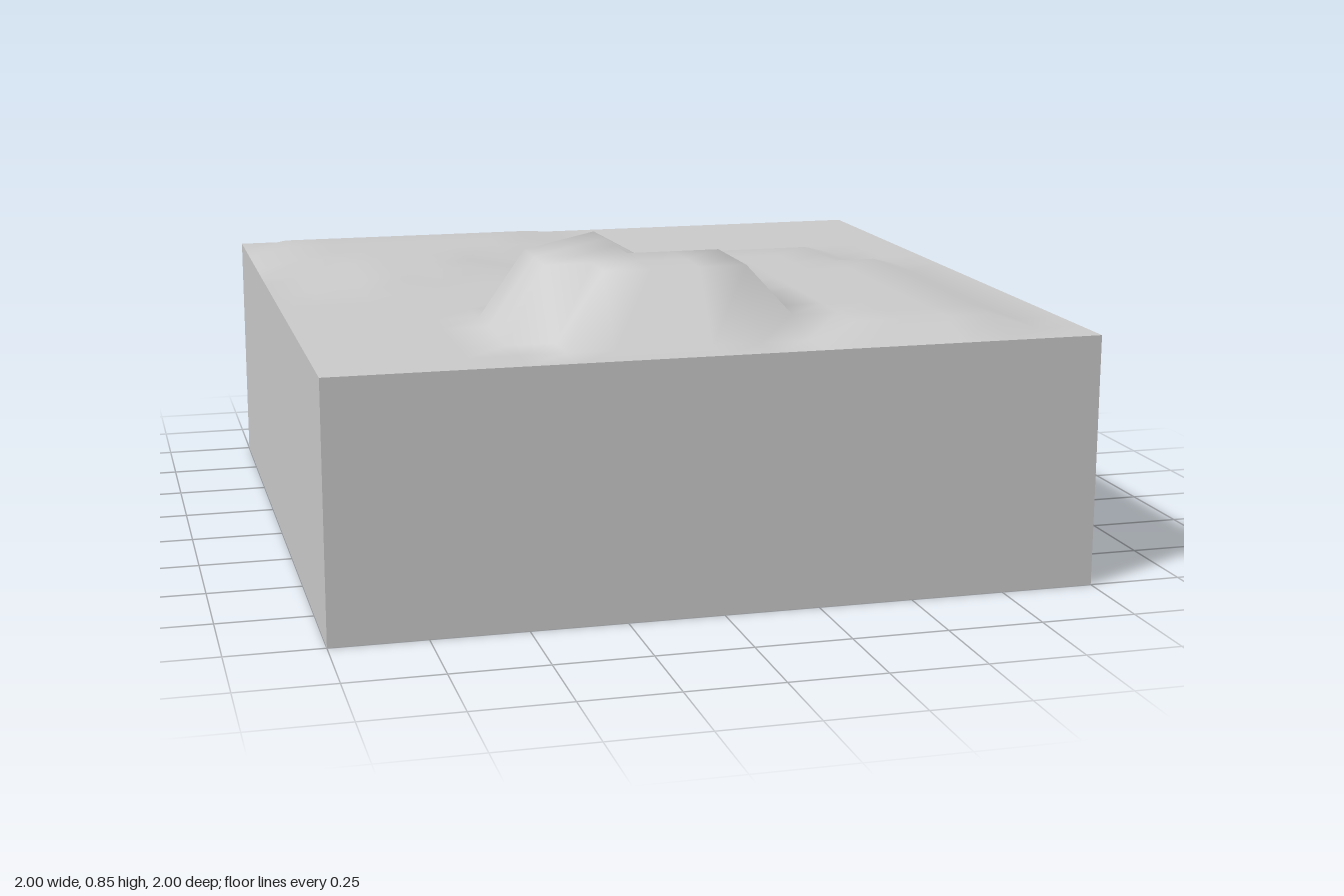
import * as THREE from 'three';

const GROUND = 0.667, CELLS = 16, STEP = 2 / CELLS;

// Each span: [z row, first x, last x], in grid steps from the centre
const TERRACES = [
  { // low rise at the back
    height: 0.692,
    spans: [[-7, -7, -1], [-6, -7, -1], [-5, -7, -1], [-4, -7, -3], [-3, -6, -3], [-2, -6, -3], [-1, -6, -5]],
  },
  { // low rise at the front
    height: 0.71,
    spans: [[-2, 2, 5], [-1, 1, 5], [0, 1, 6], [1, 1, 6], [2, 1, 6], [3, 1, 6],
      [4, 1, 6], [5, 1, 6], [6, 2, 6], [7, 3, 6]],
  },
  { // shoulder cut into the hill
    height: 0.775,
    spans: [[1, 0, 1], [2, 0, 1], [3, 0, 1]],
  },
  { // hill top
    height: 0.845,
    spans: [[1, -1, -1], [2, -2, -1], [3, -3, -1], [4, -3, 1], [5, -3, 1], [6, -2, 1]],
  },
  { // small hollow in the shoulder
    height: 0.755,
    spans: [[3, 0, 0]],
  },
];

function heightAt(x, z) {
  let h = GROUND;
  for (const { height, spans } of TERRACES)
    for (const [row, from, to] of spans)
      if (z === row && x >= from && x <= to) h = height;
  return h;
}

export function createModel() {
  const group = new THREE.Group();
  group.name = 'terrainBlock';
  const material = new THREE.MeshStandardMaterial({ color: 0xcccccc });

  // Smooth terrain surface, raised by the terraces
  const ground = new THREE.PlaneGeometry(2, 2, CELLS, CELLS).rotateX(-Math.PI / 2);
  const pos = ground.attributes.position;
  for (let i = 0; i < pos.count; i++)
    pos.setY(i, heightAt(Math.round(pos.getX(i) / STEP), Math.round(pos.getZ(i) / STEP)));
  ground.computeVertexNormals();
  const terrain = new THREE.Mesh(ground, material);
  terrain.name = 'terrainSurface';
  group.add(terrain);

  // Four side walls
  for (let i = 0; i < 4; i++) {
    const wall = new THREE.Mesh(
      new THREE.PlaneGeometry(2, GROUND).translate(0, GROUND / 2, 1).rotateY(i * Math.PI / 2), material);
    wall.name = 'sideWall';
    group.add(wall);
  }

  // Underside
  const base = new THREE.Mesh(new THREE.PlaneGeometry(2, 2).rotateX(Math.PI / 2), material);
  base.name = 'underside';
  group.add(base);
  return group;
}
